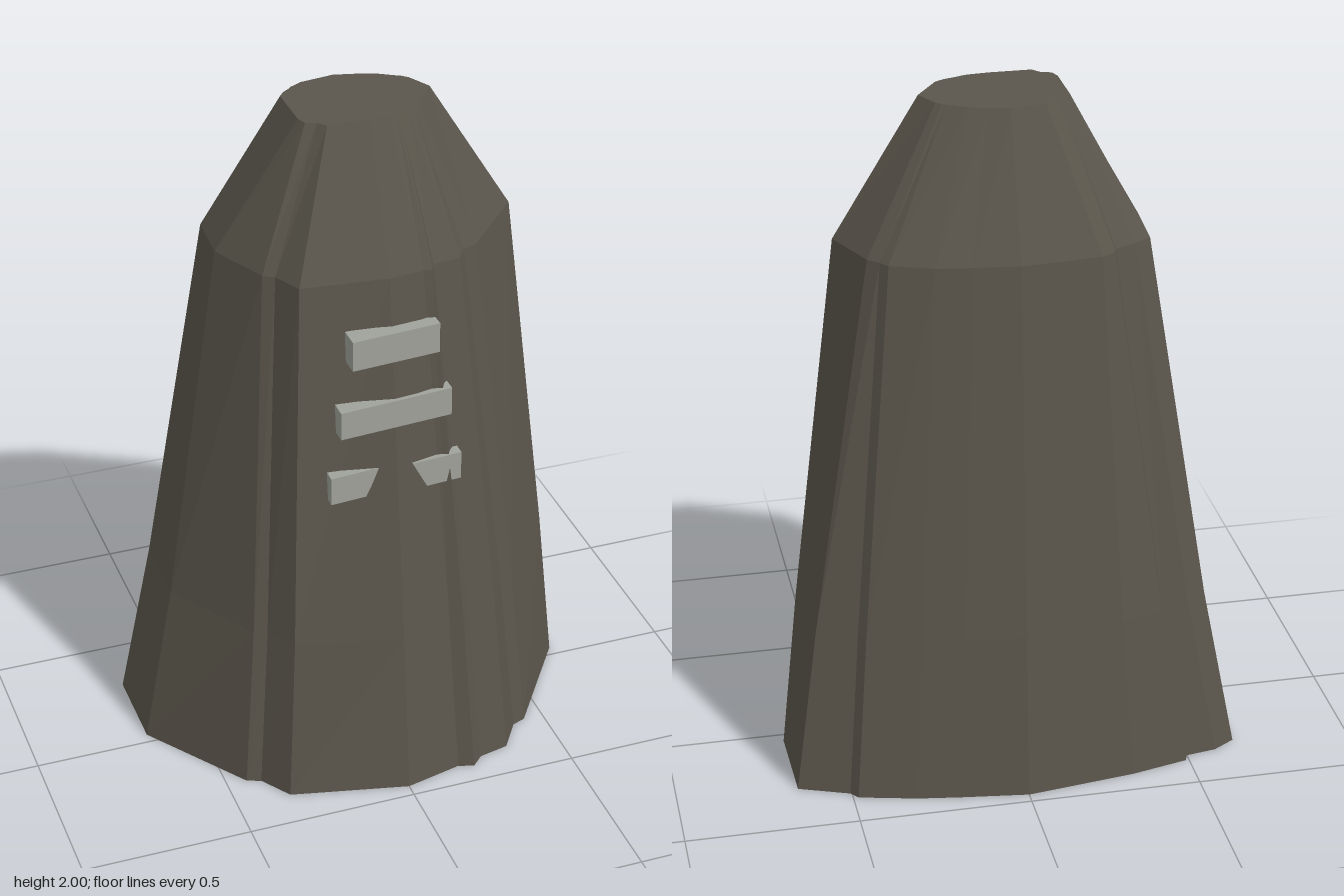
import * as THREE from 'three';

// Outlines [x, z], counter-clockwise seen from above, starting at the front
const BASE = [
  [0, .46], [.17, .42], [.215, .435], [.25, .40], [.34, .38], [.40, .29], [.44, .275], [.655, -.035],
  [.65, -.30], [.505, -.355], [.485, -.38], [.32, -.42], [.19, -.44], [0, -.465], [-.32, -.42], [-.49, -.38],
  [-.50, -.355], [-.59, -.34], [-.655, -.30], [-.655, -.035], [-.44, .275], [-.40, .29], [-.34, .38],
];
const SHOULDER = [
  [0, .27], [.10, .26], [.125, .265], [.14, .235], [.22, .225], [.25, .18], [.29, .165], [.47, -.035],
  [.40, -.20], [.37, -.23], [.35, -.255], [.23, -.30], [.13, -.315], [0, -.33], [-.23, -.31], [-.27, -.285],
  [-.28, -.26], [-.34, -.235], [-.39, -.20], [-.40, -.035], [-.32, .14], [-.29, .16], [-.25, .245],
];
const CROWN = [
  [0, .105], [.06, .10], [.08, .095], [.09, .09], [.12, .08], [.135, .075], [.16, .06], [.225, -.035],
  [.19, -.105], [.175, -.12], [.165, -.125], [.11, -.16], [.06, -.175], [0, -.19], [-.10, -.175], [-.135, -.155],
  [-.145, -.145], [-.165, -.13], [-.18, -.11], [-.18, .04], [-.17, .07], [-.14, .08], [-.12, .105],
];

// Flat-faced loft through the outlines, closed at both ends
function loft(rings) {
  const n = rings[0].pts.length;
  const pos = [];
  const index = [];
  for (const { y, pts } of rings) for (const [x, z] of pts) pos.push(x, y, z);
  for (let r = 0; r < rings.length - 1; r++) {
    for (let i = 0; i < n; i++) {
      const j = (i + 1) % n;
      const a = r * n + i, b = r * n + j, c = b + n, d = a + n;
      index.push(a, b, c, a, c, d);
    }
  }
  const last = rings.length - 1;
  const bottom = pos.length / 3;
  pos.push(0, rings[0].y, 0, 0, rings[last].y, 0);
  for (let i = 0; i < n; i++) {
    const j = (i + 1) % n;
    index.push(bottom, j, i, bottom + 1, last * n + i, last * n + j);
  }
  const indexed = new THREE.BufferGeometry();
  indexed.setAttribute('position', new THREE.Float32BufferAttribute(pos, 3));
  indexed.setIndex(index);
  const geo = indexed.toNonIndexed();
  geo.computeVertexNormals();
  return geo;
}

// Upright slab cut from a front outline, slanted back towards +x
function slab(outline, back, depth) {
  const shape = new THREE.Shape(outline.map(([x, y]) => new THREE.Vector2(x, y)));
  const geo = new THREE.ExtrudeGeometry(shape, { depth, bevelEnabled: false });
  const p = geo.attributes.position;
  for (let i = 0; i < p.count; i++) p.setZ(i, p.getZ(i) + back - 0.08 * p.getX(i));
  geo.computeVertexNormals();
  return geo;
}

export function createModel() {
  const rock = new THREE.MeshStandardMaterial({ color: 0x5b564c });
  rock.name = 'dark rock';
  const stone = new THREE.MeshStandardMaterial({ color: 0xa0a29b });
  stone.name = 'pale stone';
  rock.flatShading = true;
  stone.flatShading = true;

  const group = new THREE.Group();
  group.name = 'rockMonolith';
  const add = (name, geo, mat) => {
    const mesh = new THREE.Mesh(geo, mat);
    mesh.name = name;
    group.add(mesh);
  };

  // Rock body: flared foot, long shaft, tapered cap
  const foot = BASE.map(([x, z], i) => {
    const t = x < 0 ? 0.36 : 0.28;
    const [sx, sz] = SHOULDER[i];
    return [x + (sx - x) * t, z + (sz - z) * 0.28];
  });
  add('rockBody', loft([
    { y: 0, pts: BASE }, { y: 0.5, pts: foot }, { y: 1.6, pts: SHOULDER }, { y: 2, pts: CROWN },
  ]), rock);

  // Two full-width slabs on the front
  add('upperSlab', slab([[-.13, 1.37], [.13, 1.37], [.13, 1.46], [-.13, 1.46]], .262, .064), stone);
  add('middleSlab', slab([[-.165, 1.16], [.17, 1.16], [.17, 1.245], [-.165, 1.245]], .268, .058), stone);

  // Pair of lower slabs with slanted inner ends
  for (const [name, s] of [['leftLowerSlab', 1], ['rightLowerSlab', -1]]) {
    const outline = [[.09, .955], [.195, .955], [.195, 1.04], [.045, 1.04]].map(([x, y]) => [s * x, y]);
    // Bring the left one clear of the rock surface
    add(name, slab(outline, s > 0 ? .285 : .27, s > 0 ? .06 : .055), stone);
  }
  return group;
}
